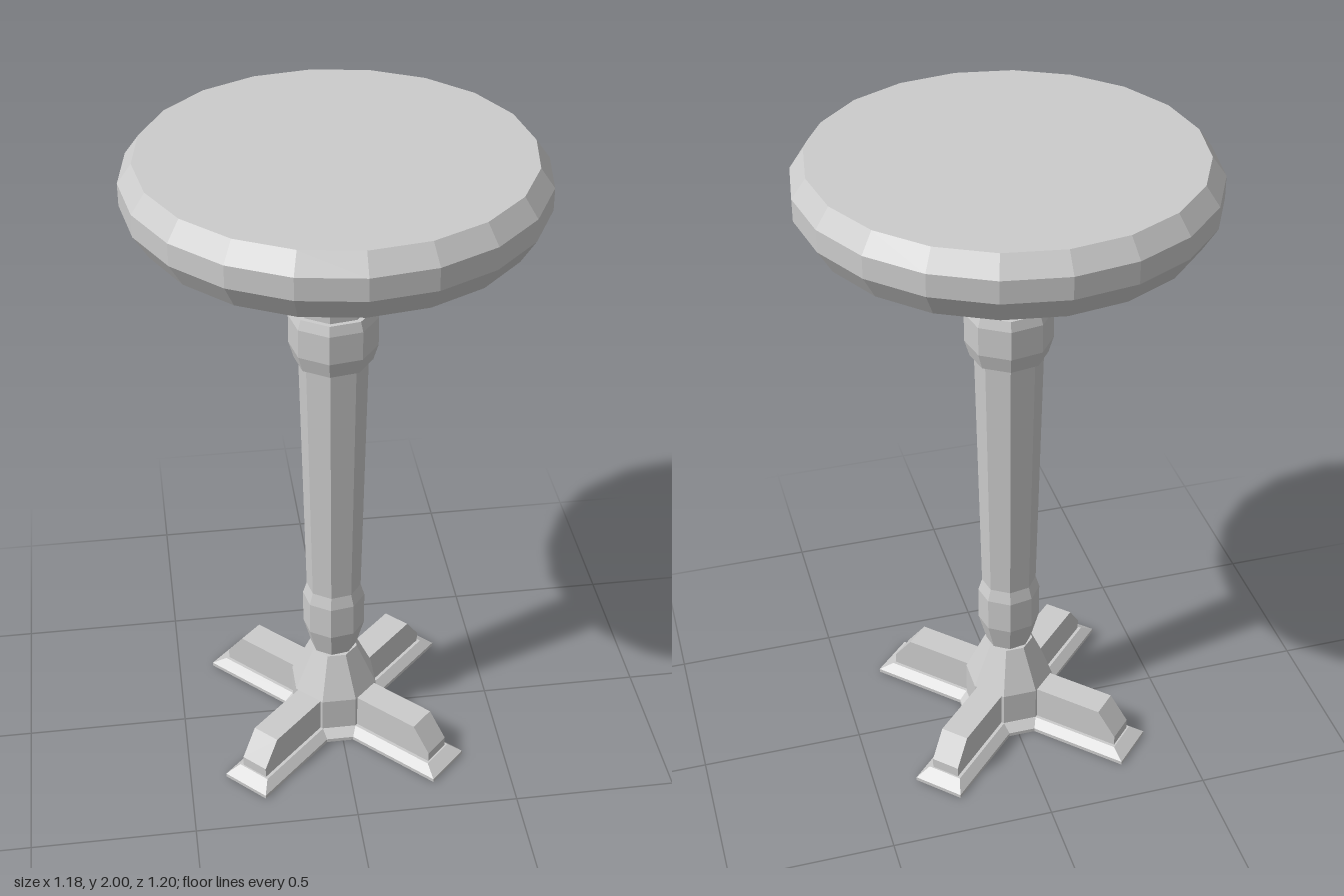
import * as THREE from 'three';

const material = new THREE.MeshStandardMaterial({ color: 0xcccccc, flatShading: true });

function part(name, geometry) {
  const mesh = new THREE.Mesh(geometry, material);
  mesh.name = name;
  return mesh;
}

// Faceted turned solid; profile is [radius, y] from bottom to top
function turned(profile, sides, startDegrees) {
  const points = profile.map(([r, y]) => new THREE.Vector2(r, y));
  return new THREE.LatheGeometry(points, sides, THREE.MathUtils.degToRad(startDegrees));
}

// Four-armed outline with chamfered inner corners, as [x, z] points
function crossOutline(length, width, corner) {
  const arm = [[length, -width], [length, width], [corner, width], [width, corner]];
  const points = [];
  for (let i = 0; i < 4; i++) {
    for (const [x, z] of arm) {
      points.push([[x, z], [-z, x], [-x, -z], [z, -x]][i]);
    }
  }
  return points;
}

// Stacked outlines joined by walls and closed by fans at both ends
function loft(levels) {
  const positions = [];
  const n = levels[0].outline.length;
  const at = (k, j) => {
    const [x, z] = levels[k].outline[j % n];
    return [x, levels[k].y, z];
  };
  const last = levels.length - 1;
  for (let j = 0; j < n; j++) {
    for (let k = 0; k < last; k++) {
      const a = at(k, j), b = at(k, j + 1), c = at(k + 1, j + 1), d = at(k + 1, j);
      positions.push(...a, ...d, ...b, ...b, ...d, ...c);
    }
    positions.push(0, levels[0].y, 0, ...at(0, j), ...at(0, j + 1));
    positions.push(0, levels[last].y, 0, ...at(last, j + 1), ...at(last, j));
  }
  const geometry = new THREE.BufferGeometry();
  geometry.setAttribute('position', new THREE.Float32BufferAttribute(positions, 3));
  geometry.computeVertexNormals();
  return geometry;
}

export function createModel() {
  const model = new THREE.Group();
  model.name = 'pedestalTable';

  // Round top with bevelled rim
  const top = part('tableTop', turned(
    [[0, 1.81], [0.555, 1.81], [0.598, 1.88], [0.598, 1.945], [0.557, 2], [0, 2]], 20, 0));
  top.scale.x = 0.985;
  model.add(top);

  const pedestal = new THREE.Group();
  pedestal.name = 'pedestal';
  pedestal.position.set(-0.01, 0, 0.015);
  model.add(pedestal);

  // Eight-sided column with a swelling near the foot
  const column = part('column', turned(
    [[0.072, 0.28], [0.072, 0.29], [0.097, 0.38], [0.097, 0.49], [0.085, 0.53],
      [0.103, 1.4], [0.108, 1.82]], 8, 33));
  // Collar around the upper column
  const collar = part('collar', turned(
    [[0.1, 1.36], [0.115, 1.36], [0.13, 1.41], [0.13, 1.5], [0.12, 1.53], [0.1, 1.53]], 8, 33));
  for (const mesh of [column, collar]) {
    mesh.scale.z = 0.92;
    pedestal.add(mesh);
  }

  // Hub flaring out between the legs
  pedestal.add(part('hub', turned(
    [[0.14, 0.01], [0.14, 0.15], [0.076, 0.29], [0, 0.29]], 8, 22.5)));

  // Cross-shaped foot plate with sloping edge
  const plate = part('footPlate', loft([
    { y: 0, outline: crossOutline(0.455, 0.08, 0.14) },
    { y: 0.012, outline: crossOutline(0.455, 0.08, 0.14) },
    { y: 0.037, outline: crossOutline(0.415, 0.055, 0.13) },
  ]));
  plate.rotation.y = Math.PI / 4;
  pedestal.add(plate);

  // Four diagonal legs with sloping ends
  const side = new THREE.Shape([[0, 0.01], [0.41, 0.01], [0.41, 0.07], [0.35, 0.15], [0, 0.15]]
    .map(([x, y]) => new THREE.Vector2(x, y)));
  const legGeometry = new THREE.ExtrudeGeometry(side, { depth: 0.09, bevelEnabled: false });
  legGeometry.translate(0, 0, -0.045);
  for (let i = 0; i < 4; i++) {
    const leg = part('leg', legGeometry);
    leg.rotation.y = Math.PI / 4 + i * Math.PI / 2;
    pedestal.add(leg);
  }
  return model;
}
